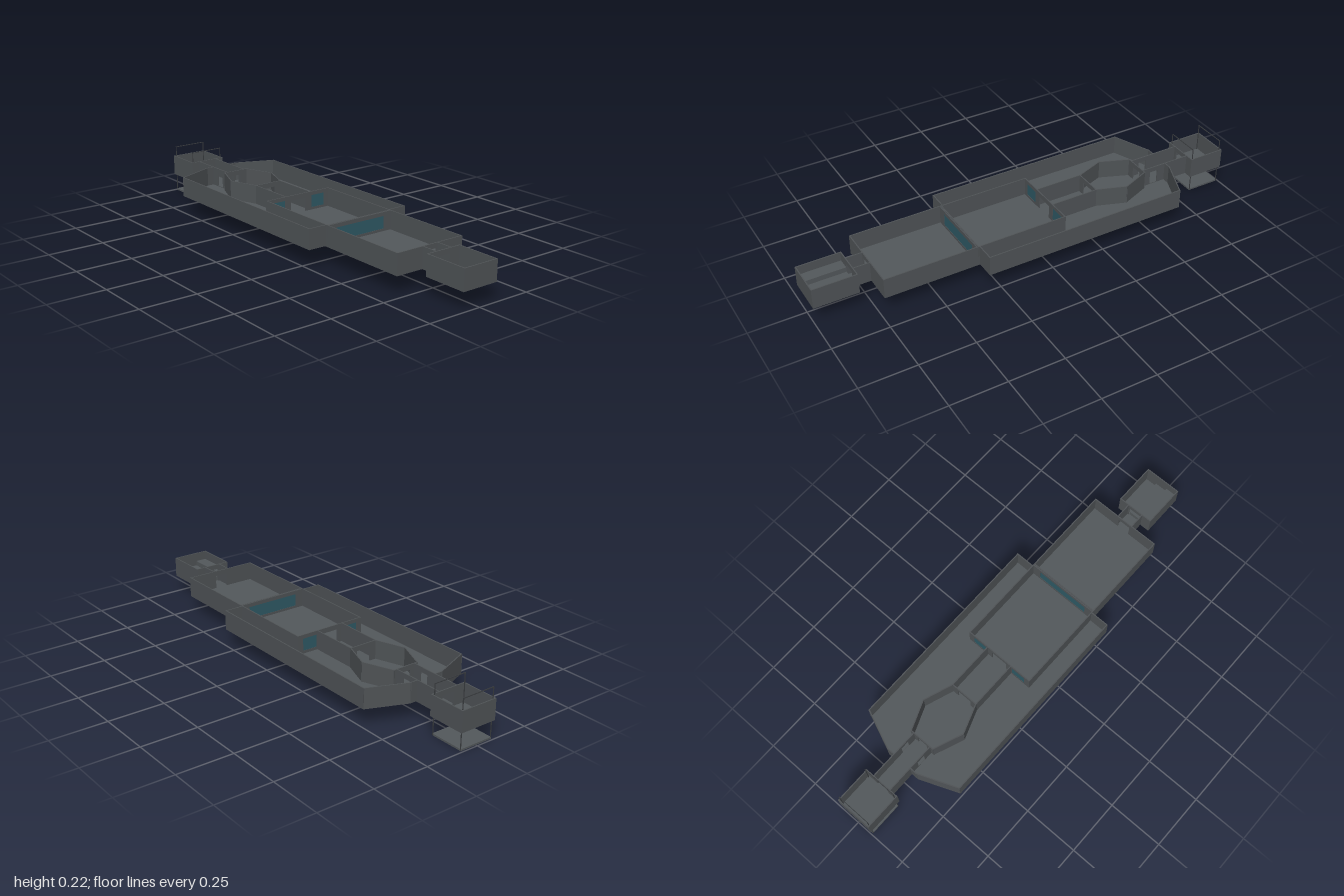
import * as THREE from 'three';

const FLOOR = 0.08, TOP = 0.172, THICK = 0.005;

export function createModel() {
  const model = new THREE.Group();
  const mat = (name, color) => Object.assign(new THREE.MeshStandardMaterial({ color }), { name });
  const floorGrey = mat('floor grey', 0x54595c);
  const wallGrey = mat('wall grey', 0x505457);
  const frameDark = mat('frame dark grey', 0x3a3d40);
  const glassTeal = mat('glass teal', 0x2f5a66);

  const add = (name, geometry, material, x = 0, y = 0, z = 0) => {
    const mesh = new THREE.Mesh(geometry, material);
    mesh.name = name;
    mesh.position.set(x, y, z);
    model.add(mesh);
    return mesh;
  };
  const box = (name, w, h, d, x, y, z, m) => add(name, new THREE.BoxGeometry(w, h, d), m, x, y, z);

  // Floor slab from an outline of [x, z] points
  const slab = (name, points, y, h) => {
    const shape = new THREE.Shape(points.map(([x, z]) => new THREE.Vector2(x, -z)));
    const g = new THREE.ExtrudeGeometry(shape, { depth: h, bevelEnabled: false });
    g.rotateX(-Math.PI / 2);
    add(name, g, floorGrey, 0, y, 0);
  };

  // Upright wall between two plan points; each opening is [from, to, bottom, top]
  const wall = (name, [ax, az], [bx, bz], openings = [], bottom = FLOOR) => {
    const length = Math.hypot(bx - ax, bz - az);
    const rect = (T, x0, x1, y0, y1) => {
      const p = new T();
      p.moveTo(x0, y0); p.lineTo(x1, y0); p.lineTo(x1, y1); p.lineTo(x0, y1); p.closePath();
      return p;
    };
    const e = THICK / 2;
    const shape = rect(THREE.Shape, -e, length + e, bottom, TOP);
    for (const [s, t, y0, y1] of openings) shape.holes.push(rect(THREE.Path, s, t, y0, y1));
    const g = new THREE.ExtrudeGeometry(shape, { depth: THICK, bevelEnabled: false });
    g.translate(0, 0, -e);
    add(name, g, wallGrey, ax, 0, az).rotation.y = -Math.atan2(bz - az, bx - ax);
  };

  const mirror = (half) => [...half, ...half.slice().reverse().map(([x, z]) => [x, -z])];
  const sideWalls = (name, half, openings = [], bottom = FLOOR) => {
    for (const s of [1, -1]) {
      for (let i = 0; i + 1 < half.length; i++) {
        wall(name, [half[i][0], s * half[i][1]], [half[i + 1][0], s * half[i + 1][1]], openings, bottom);
      }
    }
  };
  // Cross wall with a doorway in its middle
  const crossWall = (name, x, halfZ, door = 0, extra = []) => {
    const holes = door ? [[halfZ - door, halfZ + door, 0.088, 0.15]] : [];
    wall(name, [x, -halfZ], [x, halfZ], [...holes, ...extra]);
  };
  const room = (name, half, openings) => {
    slab(name + 'Floor', mirror(half), FLOOR, 0.009);
    sideWalls(name + 'Wall', half, openings);
  };

  // Outer hull around the central rooms
  const hull = [[-0.71, 0.08], [-0.64, 0.252], [0.3, 0.252]];
  slab('hullFloor', mirror(hull), 0.083, 0.004);
  sideWalls('hullWall', hull, [], 0.083);
  for (const s of [1, -1]) {
    wall('hullEndWall', [0.3, s * 0.168], [0.3, s * 0.252], [], 0.083);
    wall('hullFrontWall', [-0.71, s * 0.045], [-0.71, s * 0.08], [], 0.083);
  }

  // Chain of rooms and corridors
  room('liftShaft', [[-0.997, 0.083], [-0.832, 0.083]]);
  room('entryCorridor', [[-0.832, 0.045], [-0.71, 0.045]]);
  room('lobby', [[-0.71, 0.045], [-0.59, 0.045]], [[0.04, 0.08, 0.089, 0.15]]);
  room('hexRoom', [[-0.59, 0.06], [-0.46, 0.112], [-0.33, 0.065]]);
  room('middleCorridor', [[-0.33, 0.065], [-0.108, 0.065]]);
  room('firstHall', [[-0.108, 0.166], [0.306, 0.166]]);
  room('secondHall', [[0.312, 0.166], [0.728, 0.166]]);
  room('stairCorridor', [[0.728, 0.038], [0.803, 0.038]]);
  room('stairRoom', [[0.803, 0.083], [0.997, 0.083]]);

  // Cross walls, with doors and windows
  crossWall('shaftEndWall', -0.997, 0.083);
  crossWall('shaftDoorWall', -0.832, 0.083, 0.03);
  crossWall('hexEntryWall', -0.59, 0.06, 0.025);
  crossWall('hexExitWall', -0.33, 0.065, 0.035);
  crossWall('hallEntryWall', -0.108, 0.166, 0.04, [[0.025, 0.095, 0.1, 0.155], [0.237, 0.307, 0.1, 0.155]]);
  for (const x of [0.306, 0.312]) wall('dividingWall', [x, -0.166], [x, 0.166], [[0.04, 0.292, 0.1, 0.155]]);
  crossWall('hallExitWall', 0.728, 0.166, 0.03);
  crossWall('stairDoorWall', 0.803, 0.083, 0.03);
  crossWall('stairEndWall', 0.997, 0.083);

  // Window panes
  for (const s of [1, -1]) box('hallWindow', 0.003, 0.055, 0.07, -0.108, 0.1275, s * 0.106, glassTeal);
  box('dividingWindow', 0.008, 0.055, 0.252, 0.309, 0.1275, 0, glassTeal);

  // Steps
  [0.022, 0.044].forEach((h, i) =>
    box('step', 0.188, h, 0.055, 0.9, 0.088 + h / 2, i ? 0.056 : 0.0, floorGrey));

  // Lift platform and its two wire frames
  box('liftPlatform', 0.155, 0.008, 0.156, -0.915, 0.004, 0, floorGrey);
  for (const x of [-0.99, -0.84]) {
    for (const z of [-0.077, 0.077]) box('liftPost', 0.003, 0.218, 0.003, x, 0.109, z, frameDark);
    box('liftTopBar', 0.003, 0.003, 0.157, x, 0.2175, 0, frameDark);
  }
  return model;
}
